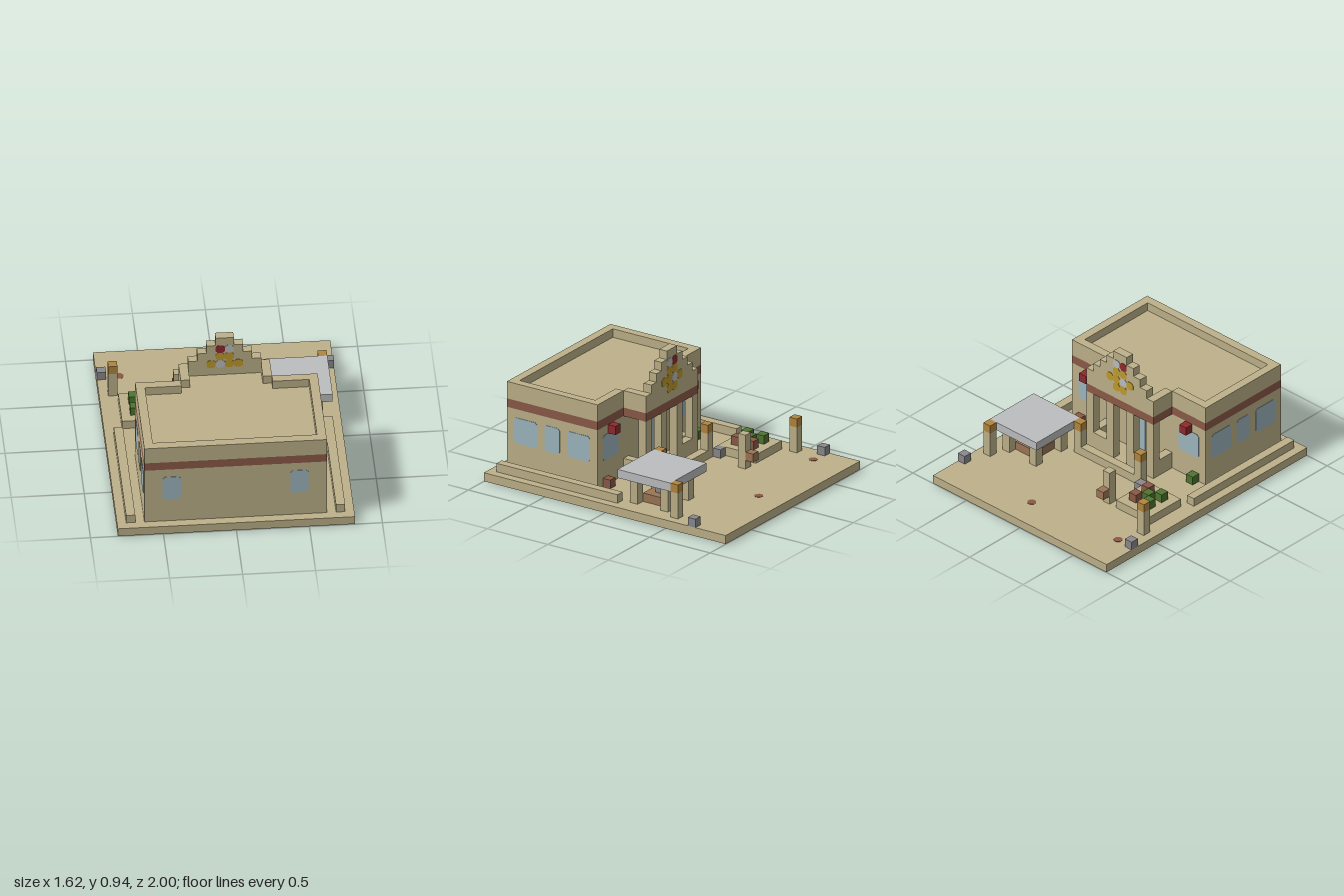
import * as THREE from 'three';

const U = 1 / 16; // grid unit

const mat = (name, color) => {
  const m = new THREE.MeshStandardMaterial({ color });
  m.name = name;
  return m;
};

export function createModel() {
  const root = new THREE.Group();
  root.name = 'roadsideBuilding';
  const tan = mat('sandstone', 0xbdb18a), stripe = mat('terracotta', 0x8b5a47);
  const glass = mat('glass', 0x9db5bf), pale = mat('paleGrey', 0xbcbdbf);
  const grey = mat('stoneGrey', 0x8a888c), amber = mat('amber', 0xb0853f);
  const gold = mat('gold', 0xbf9a2c), red = mat('red', 0x8f2a2e);
  const green = mat('leafGreen', 0x4f7530), wood = mat('wood', 0x9b7555);

  // Box given by its two corners in grid units
  const box = (name, m, x0, x1, y0, y1, z0, z1) => {
    const mesh = new THREE.Mesh(new THREE.BoxGeometry((x1 - x0) * U, (y1 - y0) * U, (z1 - z0) * U), m);
    mesh.position.set((x0 + x1) / 2 * U, (y0 + y1) / 2 * U, (z0 + z1) / 2 * U);
    mesh.name = name;
    root.add(mesh);
    return mesh;
  };
  const cube = (name, m, x, y, z) => box(name, m, x, x + 1, y, y + 1, z, z + 1);

  // Thin pane with clipped corners, turned about y to face outwards
  const pane = (name, m, w, h, x, y, z, turn) => {
    const a = w / 2, b = h / 2, c = 0.25;
    const pts = [[-a + c, -b], [a - c, -b], [a, -b + c], [a, b - c], [a - c, b], [-a + c, b], [-a, b - c], [-a, -b + c]];
    const shape = new THREE.Shape(pts.map(([px, py]) => new THREE.Vector2(px * U, py * U)));
    const mesh = new THREE.Mesh(new THREE.ExtrudeGeometry(shape, { depth: 0.003, bevelEnabled: false }), m);
    mesh.position.set(x * U, y * U, z * U);
    mesh.rotation.y = turn;
    mesh.name = name;
    root.add(mesh);
  };

  // Ground slab with two stains showing on both faces
  box('groundSlab', tan, -13, 13, 0, 1, -16, 16);
  for (const [x, z] of [[-10.5, -11.5], [1.5, -12.5]]) {
    const stain = new THREE.Mesh(new THREE.CylinderGeometry(0.032, 0.032, U + 0.004, 8), stripe);
    stain.rotation.y = Math.PI / 8;
    stain.position.set(x * U, U / 2, z * U);
    stain.name = 'groundStain';
    root.add(stain);
  }

  // Main hall and portico, in layers with a painted band
  box('hallWalls', tan, -10, 10, 1, 8, 3, 15);
  for (const [name, m, y] of [['band', stripe, 8], ['roofDeck', tan, 9]]) {
    box(name, m, -10, 10, y, y + 1, 3, 15);
    box('portico' + name, m, -5, 5, y, y + 1, 0, 3);
  }

  // Parapet, open towards the portico
  box('frontParapet', tan, -10, 10, 10, 11, 14, 15);
  box('porticoParapet', tan, -5, 5, 10, 11, 0, 1);
  for (const s of [-1, 1]) {
    const side = (name, m, a, b, ...r) => box(name, m, Math.min(s * a, s * b), Math.max(s * a, s * b), ...r);
    side('sideParapet', tan, 9, 10, 10, 11, 3, 14);
    side('backParapet', tan, 5, 9, 10, 11, 3, 4);
    side('porticoSideParapet', tan, 4, 5, 10, 11, 1, 3);

    // Portico columns and low walls
    side('outerColumn', tan, 4, 5, 1, 8, 0, 1);
    side('innerColumn', tan, 1, 2, 1, 8, 0, 1);
    side('porticoSideWall', tan, 4, 5, 1, 3, 1, 3);
    side('porticoLowWall', tan, 2, 4, 1, 3, 0, 1);

    // Kerbs, lamp posts, blocks and wall lamps
    side('kerb', tan, 11, 12, 1, 2, -1, 15);
    side('terracePost', tan, 4, 5, 1, 4, -2, -1);
    side('terraceLamp', amber, 4, 5, 4, 5, -2, -1);
    side('gatePost', tan, 11, 12, 1, 4, -9, -8);
    side('gateLamp', amber, 11, 12, 4, 5, -9, -8);
    side('cornerBlock', grey, 12, 13, 1, 2, -12, -11);
    side('wallLamp', red, 7, 8, 7, 8, 2, 3);
    side('wallPlant', s < 0 ? green : stripe, 8, 9, 1, 2, 2, 3);

    // Windows
    pane('frontWindow', glass, 2, 3, s * 7, 5.5, 15, 0);
    pane('backWindow', glass, 3, 3, s * 7.5, 5.5, 3, Math.PI);
    for (const [z0, z1] of [[4, 7], [8, 10], [11, 14]])
      pane('sideWindow', glass, z1 - z0, 3, s * 10, 5.5, (z0 + z1) / 2, s * Math.PI / 2);
  }
  pane('doorGlass', glass, 2, 5, 0, 3.5, 3, Math.PI);
  box('terraceRail', tan, -4, 4, 1, 2, -2, -1);

  // Stepped gable
  for (let i = 0; i < 4; i++) box('gableStep', tan, i - 4, 4 - i, 11 + i, 12 + i, 0, 1);

  // Emblem of coloured squares on both faces of the gable
  const emblem = [[-1, 13, red], [0, 13, pale], [-1, 12, gold], [0, 12, gold], [-2, 11, gold],
    [-1, 11, pale], [0, 11, gold], [1, 11, gold], [-1, 10, gold], [0, 10, gold]];
  for (const [x, y, m] of emblem) {
    pane('emblemBack', m, 1, 1, x + 0.5, y + 0.5, 0, Math.PI);
    if (y > 10) pane('emblemFront', m, 1, 1, x + 0.5, y + 0.5, 1, 0);
  }

  // Canopy with a counter beneath it
  box('canopyRoof', pale, 5, 12, 4, 5, -8, -1);
  for (const x of [6, 10]) for (const z of [-7, -3]) box('canopyPost', tan, x, x + 1, 1, 4, z, z + 1);
  box('counter', wood, 7, 10, 1, 2, -6, -3);
  cube('counterStand', grey, 8, 2, -5);
  cube('counterLamp', amber, 8, 3, -5);

  // Planter with shrubs and flowers
  box('planter', tan, -11, -6, 1, 2, -7, -2);
  for (const [x, z] of [[-10, -6], [-9, -5], [-10, -4]]) cube('shrub', green, x, 2, z);
  for (const z of [-6, -4]) cube('flower', stripe, -8, 2, z);
  cube('planterBlock', grey, -6, 1, -3);

  // Free-standing post with a box on it
  box('boxPost', tan, -5, -4, 1, 5, -7, -6);
  cube('postBox', wood, -5, 2, -8);

  return root;
}
